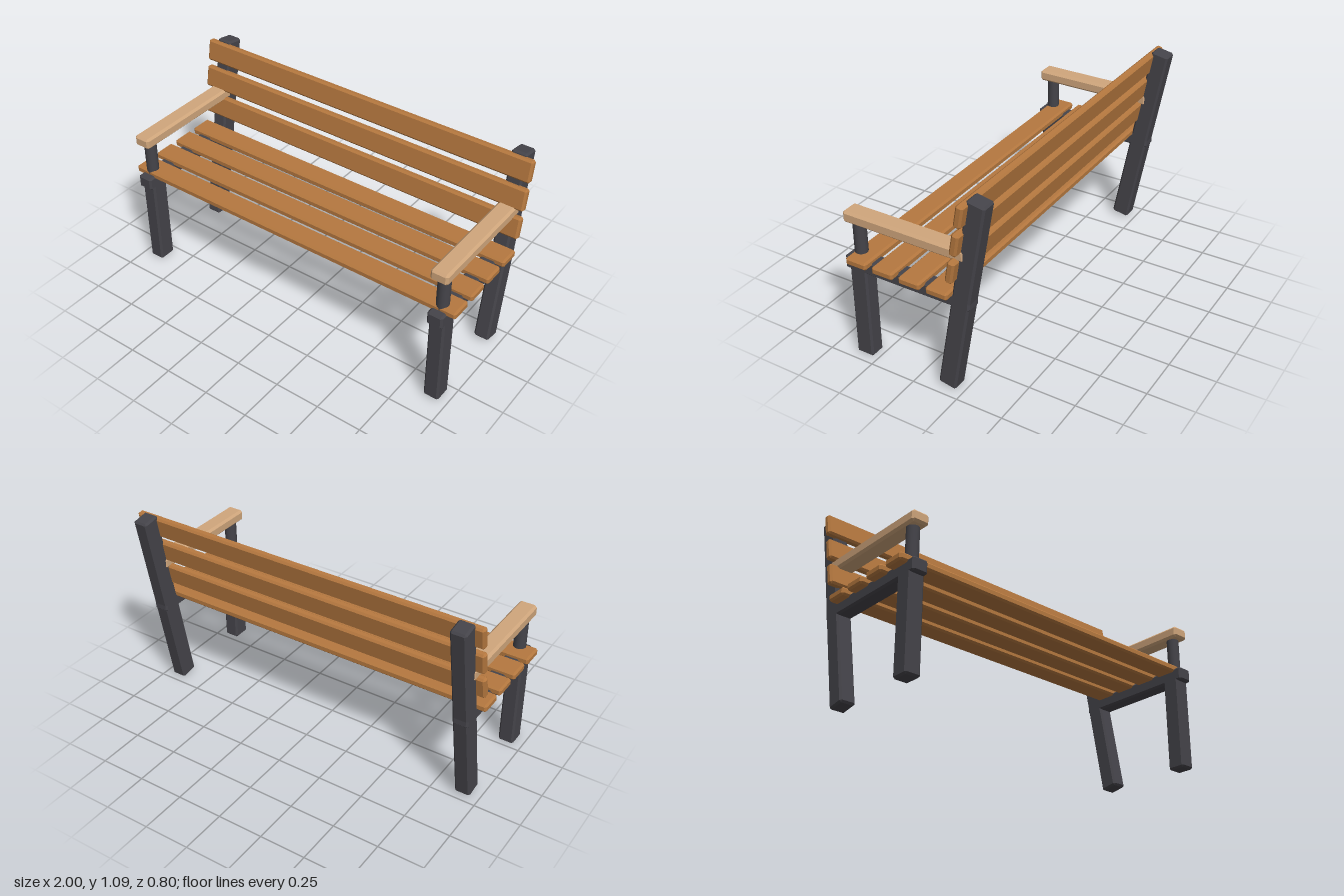
import * as THREE from 'three';
import { ConvexGeometry } from 'three/addons/geometries/ConvexGeometry.js';

const material = (name, color) => {
  const m = new THREE.MeshStandardMaterial({ color });
  m.name = name;
  return m;
};

// Box with flat chamfers on every edge
function chamferBox(w, h, d, c = 0.01) {
  const points = [];
  for (const x of [-1, 1]) for (const y of [-1, 1]) for (const z of [-1, 1]) {
    for (let axis = 0; axis < 3; axis++) {
      const cut = [0, 1, 2].map((i) => (i === axis ? 0 : c));
      points.push(new THREE.Vector3(x * (w / 2 - cut[0]), y * (h / 2 - cut[1]), z * (d / 2 - cut[2])));
    }
  }
  return new ConvexGeometry(points);
}

export function createModel() {
  const bench = new THREE.Group();
  bench.name = 'bench';
  const iron = material('dark frame', 0x45444a);
  const wood = material('slat wood', 0xb5783f);
  const paleWood = material('armrest wood', 0xd0a67c);
  const tilt = THREE.MathUtils.degToRad(-10);

  const add = (name, geometry, mat, x, y, z, rx = 0) => {
    const mesh = new THREE.Mesh(geometry, mat);
    mesh.name = name;
    mesh.position.set(x, y, z);
    mesh.rotation.x = rx;
    bench.add(mesh);
  };

  // Side frames, mirrored
  const legWidth = 0.085;
  const frontLeg = chamferBox(legWidth, 0.54, 0.098);
  const backLeg = chamferBox(legWidth, 1.086, 0.097);
  const rail = chamferBox(legWidth, 0.075, 0.704);
  const post = new THREE.CylinderGeometry(0.033, 0.033, 0.24, 16);
  const arm = chamferBox(0.095, 0.063, 0.675, 0.012);
  for (const [side, s] of [['left', 1], ['right', -1]]) {
    const x = s * 0.912;
    add(`${side}FrontLeg`, frontLeg, iron, x, 0.27, 0.326);
    add(`${side}BackLeg`, backLeg, iron, x, 0.546, -0.258, tilt);
    add(`${side}SeatRail`, rail, iron, x, 0.532, 0.047);
    add(`${side}ArmPost`, post, iron, x, 0.66, 0.327);
    add(`${side}Armrest`, arm, paleWood, x, 0.787, 0.052);
  }

  // Seat slats
  const seatSlat = chamferBox(2, 0.042, 0.119);
  for (let i = 0; i < 4; i++) add(`seatSlat${i + 1}`, seatSlat, wood, 0, 0.571, 0.3 - 0.152 * i);

  // Backrest slats, leaning with the back legs
  const backSlat = chamferBox(2, 0.12, 0.04);
  for (let i = 0; i < 3; i++) {
    add(`backSlat${i + 1}`, backSlat, wood, 0, 0.712 + 0.152 * i, -0.233 - 0.0275 * i, tilt);
  }
  return bench;
}
